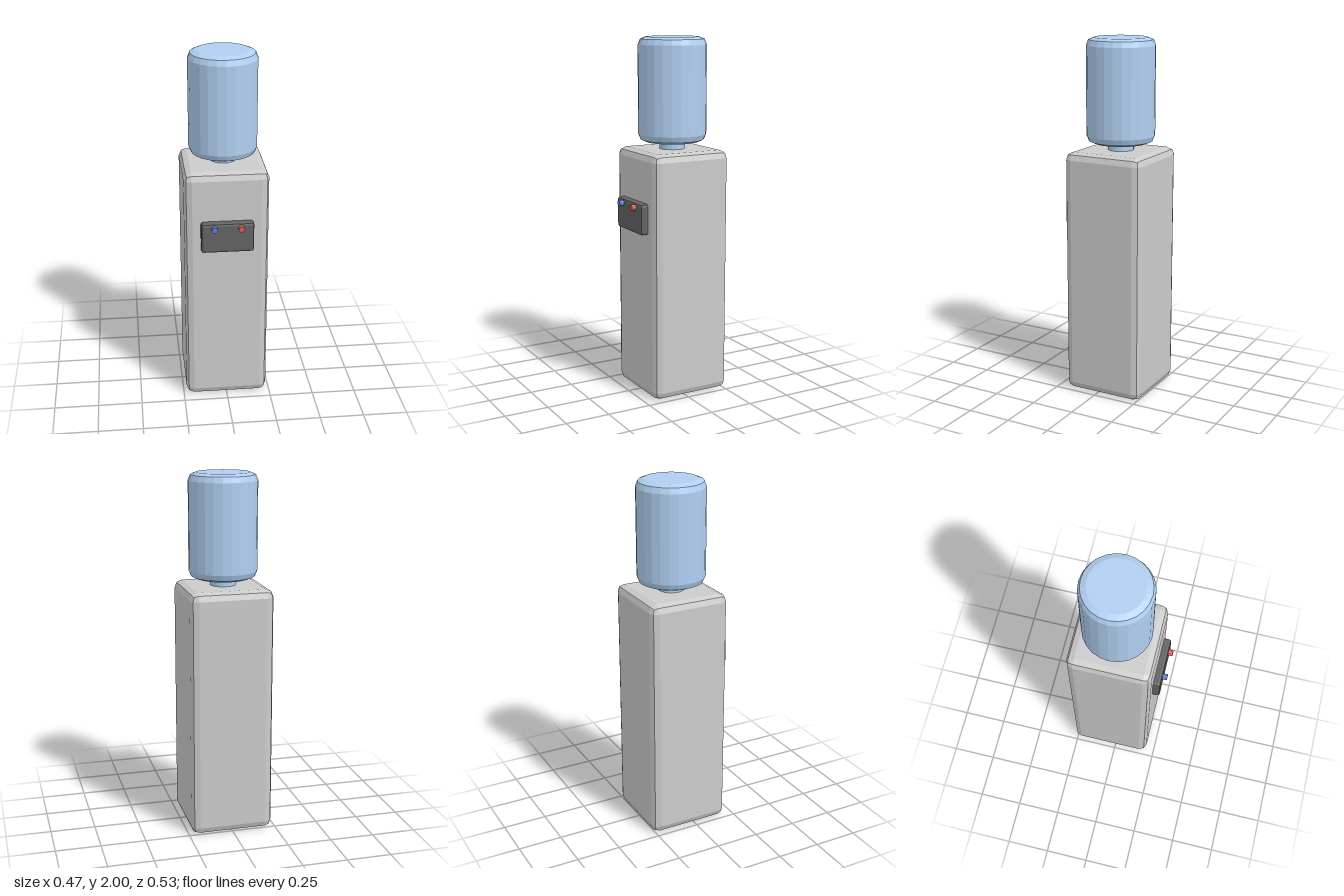
import * as THREE from 'three';

const material = (color) => new THREE.MeshStandardMaterial({ color, flatShading: true });

// Box with every edge rounded in two facets
function bevelBox(w, h, d, r) {
  const geo = new THREE.BoxGeometry(2, 2, 2, 3, 3, 3);
  const pos = geo.attributes.position;
  const core = new THREE.Vector3(w / 2 - r, h / 2 - r, d / 2 - r);
  const v = new THREE.Vector3();
  for (let i = 0; i < pos.count; i++) {
    v.fromBufferAttribute(pos, i);
    const sign = new THREE.Vector3(Math.sign(v.x), Math.sign(v.y), Math.sign(v.z));
    // inner grid lines border the flat faces, outer ones lie on the rounding
    const normal = new THREE.Vector3(Math.trunc(v.x), Math.trunc(v.y), Math.trunc(v.z)).normalize();
    v.copy(core).multiply(sign).addScaledVector(normal, r);
    pos.setXYZ(i, v.x, v.y, v.z);
  }
  geo.computeVertexNormals();
  return geo;
}

export function createModel() {
  const model = new THREE.Group();
  model.name = 'waterCooler';

  const add = (name, geometry, mat, x, y, z) => {
    const mesh = new THREE.Mesh(geometry, mat);
    mesh.name = name;
    mesh.position.set(x, y, z);
    model.add(mesh);
    return mesh;
  };

  const axisZ = -0.034;
  const water = material(0xb0cff1);

  // Cabinet
  add('cabinet', bevelBox(0.466, 1.385, 0.466, 0.043), material(0xcccccc), 0, 0.6925, axisZ);

  // Tap panel, set into the cabinet front
  add('tapPanel', bevelBox(0.29, 0.172, 0.09, 0.014), material(0x636365), 0, 1.025, 0.196);

  // Cold and hot taps
  for (const [name, x, color] of [['coldTap', -0.073, 0x5a82d2], ['hotTap', 0.073, 0xd86055]]) {
    const tap = add(name, new THREE.CylinderGeometry(0.017, 0.017, 0.04, 12), material(color), x, 1.086, 0.246);
    tap.rotation.x = Math.PI / 2;
  }

  // Bottle neck
  add('bottleNeck', new THREE.CylinderGeometry(0.072, 0.072, 0.08, 24), water, 0, 1.41, axisZ);

  // Bottle with two-facet rounding at both rims
  const R = 0.19, r = 0.043, bottom = 1.424, top = 2;
  const k = r * (1 - Math.SQRT1_2);
  const rim = [[0, 0], [R - r, 0], [R - k, k], [R, r]];
  const profile = [
    ...rim.map(([x, y]) => new THREE.Vector2(x, bottom + y)),
    ...rim.reverse().map(([x, y]) => new THREE.Vector2(x, top - y)),
  ];
  add('bottle', new THREE.LatheGeometry(profile, 24), water, 0, 0, axisZ);

  return model;
}
